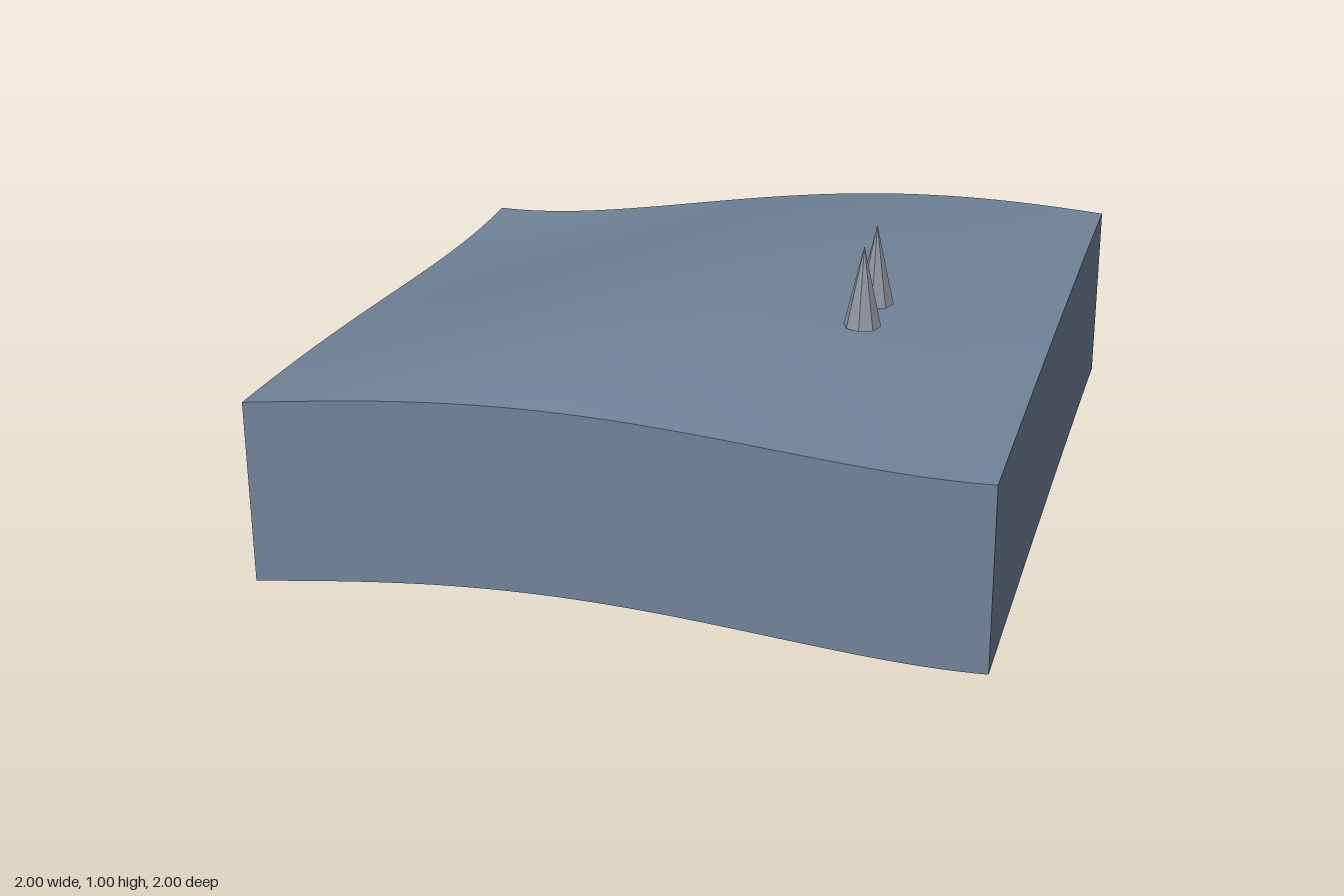
import * as THREE from 'three';

const THICK = 0.53, SEG = 48;
const KNOTS = [-1, -0.5, 0, 0.5, 1];
// Surface heights: rows run from back to front, columns from x = -1 to x = 1
const HEIGHTS = [
  [0.53, 0.58, 0.668, 0.715, 0.702],
  [0.55, 0.63, 0.738, 0.759, 0.712],
  [0.60, 0.70, 0.785, 0.768, 0.714],
  [0.65, 0.75, 0.795, 0.752, 0.711],
  [0.685, 0.745, 0.757, 0.722, 0.704],
];

// Polynomial through five evenly spaced values
function interpolate(values, t) {
  return values.reduce((sum, v, i) => sum + KNOTS.reduce(
    (w, k, j) => (j === i ? w : w * (t - k) / (KNOTS[i] - k)), v), 0);
}
const heightAt = (x, z) => interpolate(HEIGHTS.map((row) => interpolate(row, x)), z);

export function createModel() {
  const group = new THREE.Group();
  const slate = new THREE.MeshStandardMaterial({ color: 0x708399, side: THREE.DoubleSide });
  slate.name = 'slateBlue';
  const stone = new THREE.MeshStandardMaterial({ color: 0x8f949e, flatShading: true });
  stone.name = 'stoneGrey';

  const add = (name, geometry, material) => {
    const mesh = new THREE.Mesh(geometry, material);
    mesh.name = name;
    group.add(mesh);
    return mesh;
  };

  // Rolling ground surface
  const ground = new THREE.PlaneGeometry(2, 2, SEG, SEG).rotateX(-Math.PI / 2);
  const gp = ground.attributes.position;
  for (let i = 0; i < gp.count; i++) gp.setY(i, heightAt(gp.getX(i), gp.getZ(i)));
  ground.computeVertexNormals();
  add('groundSurface', ground, slate);

  // Four skirt walls, each following the ground edge; the underside is open
  ['frontWall', 'leftWall', 'backWall', 'rightWall'].forEach((name, k) => {
    const wall = new THREE.PlaneGeometry(2, 1, SEG, 1);
    wall.translate(0, 0, 1).rotateY(k * Math.PI / 2);
    const p = wall.attributes.position;
    for (let i = 0; i < p.count; i++) {
      const drop = p.getY(i) < 0 ? THICK : 0;
      p.setY(i, Math.max(0, heightAt(p.getX(i), p.getZ(i)) - drop));
    }
    wall.computeVertexNormals();
    add(name, wall, slate);
  });

  // Pair of pointed spikes standing on the ground
  for (const z of [0.08, 0.25]) {
    const spike = add('spike', new THREE.ConeGeometry(0.052, 0.23, 8), stone);
    spike.position.set(0.5, 0.885, z);
  }
  return group;
}
